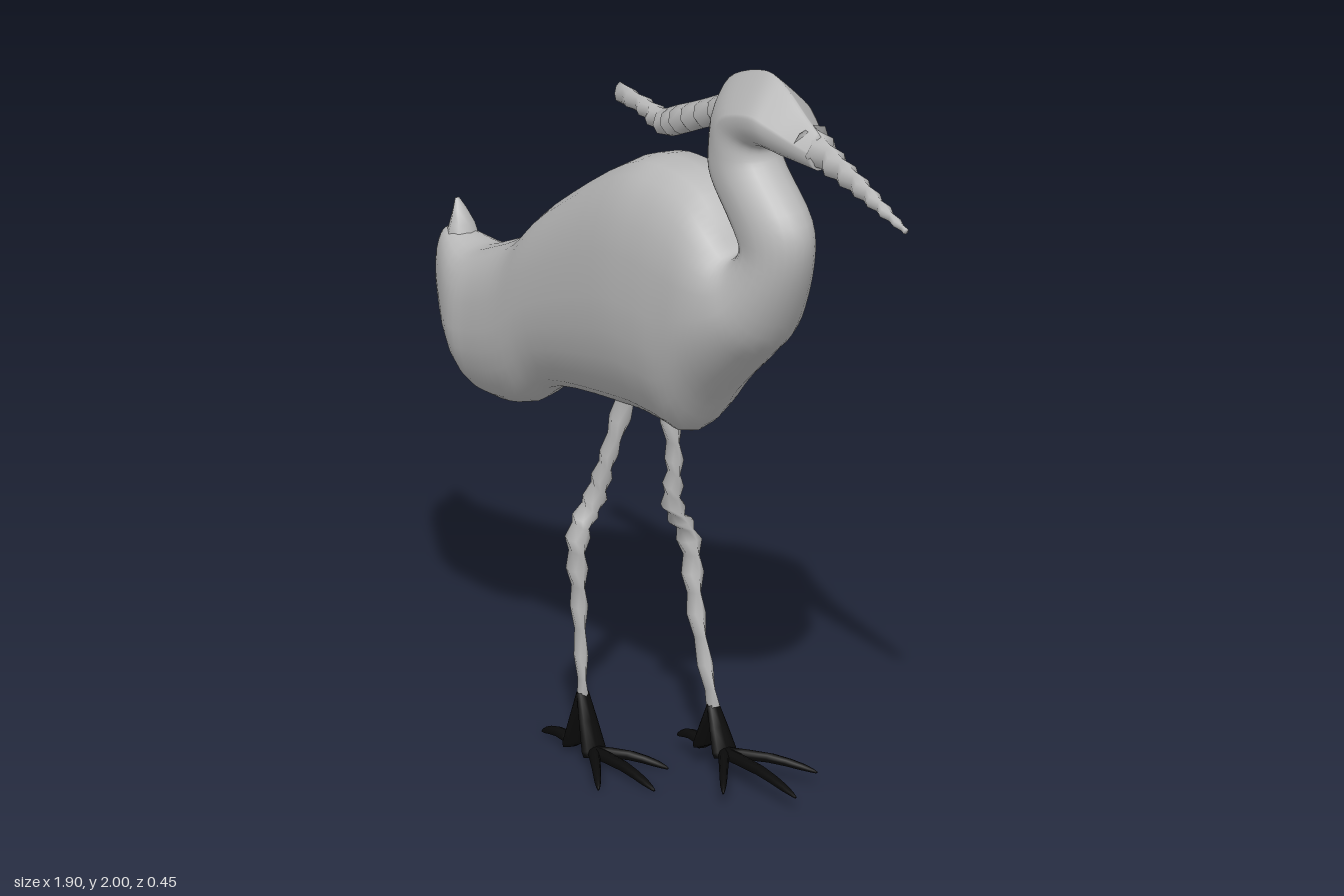
import * as THREE from 'three';

const plumage = new THREE.MeshStandardMaterial({ color: 0xbababa });
plumage.name = 'greyPlumage';
const black = new THREE.MeshStandardMaterial({ color: 0x0a0a0a });
black.name = 'blackFeet';

// Smoothly resample rows of numbers, k steps between neighbours
function resample(rows, k) {
  const out = [];
  for (let i = 0; i < rows.length - 1; i++) {
    const a = rows[Math.max(i - 1, 0)], b = rows[i], c = rows[i + 1], d = rows[Math.min(i + 2, rows.length - 1)];
    for (let s = 0; s < k; s++) {
      const t = s / k;
      out.push(b.map((v, m) => v + 0.5 * t * (c[m] - a[m]
        + t * (2 * a[m] - 5 * v + 4 * c[m] - d[m] + t * (3 * (v - c[m]) + d[m] - a[m])))));
    }
  }
  out.push(rows[rows.length - 1]);
  return out;
}

// Skin over rings {c: centre, h: in-plane half axis, w: half width in z, e: squareness of the upper half}
function skin(name, rings, sides, material) {
  const pos = [], idx = [];
  const pw = (v, e) => Math.sign(v) * Math.pow(Math.abs(v), e);
  for (const { c, h, w, e } of rings) {
    for (let j = 0; j < sides; j++) {
      const a = (j / sides) * Math.PI * 2, f = Math.cos(a) > 0 ? e : 1;
      const u = pw(Math.cos(a), f), v = pw(Math.sin(a), f);
      pos.push(c[0] + h[0] * u, c[1] + h[1] * u, c[2] + w * v);
    }
  }
  const n = rings.length, first = n * sides;
  pos.push(...rings[0].c, ...rings[n - 1].c);
  for (let j = 0; j < sides; j++) {
    const k = (j + 1) % sides, last = (n - 1) * sides;
    for (let i = 0; i < n - 1; i++) {
      const p = i * sides, q = p + sides;
      idx.push(p + j, p + k, q + j, p + k, q + k, q + j);
    }
    idx.push(first, k, j, first + 1, last + j, last + k);
  }
  const g = new THREE.BufferGeometry();
  g.setAttribute('position', new THREE.Float32BufferAttribute(pos, 3));
  g.setIndex(idx);
  g.computeVertexNormals();
  const mesh = new THREE.Mesh(g, material);
  mesh.name = name;
  return mesh;
}

// Tapered limb along [x, y, z, in-plane radius, z half width]; beaded ones pinch in z
function limb(name, points, steps, material, beaded = false) {
  const rows = resample(points, steps);
  const rings = rows.map(([x, y, z, r, w], i) => {
    const a = rows[Math.max(i - 1, 0)], b = rows[Math.min(i + 1, rows.length - 1)];
    const tx = b[0] - a[0], ty = b[1] - a[1], l = Math.hypot(tx, ty) || 1;
    return { c: [x, y, z], h: [-ty / l * r, tx / l * r], w: w * (beaded && i % 2 ? 0.4 : 1), e: 1 };
  });
  return skin(name, rings, 8, material);
}

// Foot: two splayed struts, one rear toe and three front toes
function foot(name, ax, ay, z, base, rear, middle, sideToes) {
  const g = new THREE.Group();
  g.name = name;
  const back = ax - 0.035, front = ax + 0.045, k = base + 0.03;
  for (const [n, x] of [['rearStrut', back], ['frontStrut', front]]) {
    g.add(limb(n, [[ax, ay, z, 0.012, 0.018], [x, k, z, 0.013, 0.036], [x, k - 0.012, z, 0.008, 0.026]], 2, black));
  }
  const toe = (n, x0, x1, z1) => g.add(limb(n, [
    [x0, k - 0.005, z, 0.015, 0.018],
    [x0 + (x1 - x0) * 0.5, k - 0.003, z + (z1 - z) * 0.5, 0.013, 0.014],
    [x0 + (x1 - x0) * 0.85, k - 0.015, z + (z1 - z) * 0.85, 0.009, 0.01],
    [x1, base + 0.006, z1, 0.003, 0.003]], 2, black));
  toe('rearToe', back, rear, z);
  toe('middleToe', front, middle, z);
  for (const [x, sz] of sideToes) toe('sideToe', front, x, sz);
  return g;
}

// Body, neck and head in one skin; stations are [back x, y, belly x, y, half width]
function bird() {
  const body = [
    [-0.94, 1.13, -0.95, 1.04, 0.02],
    [-0.9, 1.15, -0.92, 0.95, 0.055],
    [-0.79, 1.14, -0.78, 0.797, 0.122],
    [-0.69, 1.18, -0.69, 0.77, 0.13],
    [-0.56, 1.255, -0.56, 0.8, 0.14],
    [-0.42, 1.39, -0.42, 0.89, 0.15],
    [-0.12, 1.605, -0.12, 0.94, 0.17],
    [0.05, 1.65, 0, 0.945, 0.17],
    [0.17, 1.634, 0.1, 0.95, 0.165],
    [0.25, 1.57, 0.2, 1.07, 0.16],
    [0.3, 1.51, 0.33, 1.2, 0.14],
  ];
  const neckAndHead = [
    [0.325, 1.51, 0.43, 1.305, 0.115],
    [0.335, 1.54, 0.52, 1.5, 0.088],
    [0.29, 1.59, 0.52, 1.63, 0.087],
    [0.215, 1.68, 0.41, 1.74, 0.087],
    [0.195, 1.77, 0.385, 1.775, 0.087],
    [0.19, 1.87, 0.39, 1.8, 0.088],
    [0.245, 1.945, 0.42, 1.812, 0.09],
    [0.38, 2, 0.46, 1.812, 0.088],
    [0.46, 1.982, 0.49, 1.81, 0.075],
    [0.54, 1.935, 0.55, 1.81, 0.05],
    [0.6, 1.9, 0.6, 1.81, 0.03],
  ];
  // Full shoulders turn into a peaked crown at the head
  const rings = resample([...body, ...neckAndHead], 4).map(([tx, ty, bx, by, w]) => ({
    c: [(tx + bx) / 2, (ty + by) / 2, 0.007], h: [(tx - bx) / 2, (ty - by) / 2], w,
    e: 0.78 + 1.1 * THREE.MathUtils.smoothstep(ty, 1.68, 2),
  }));
  return skin('bodyNeckAndHead', rings, 24, plumage);
}

export function createModel() {
  const model = new THREE.Group();
  model.name = 'wadingBird';
  model.add(bird());

  // Beak, head plume and upturned tail tuft
  model.add(limb('beak', [
    [0.55, 1.868, 0, 0.05, 0.055], [0.65, 1.841, 0, 0.037, 0.036],
    [0.76, 1.816, 0, 0.028, 0.026], [0.86, 1.788, 0, 0.016, 0.02], [0.945, 1.765, 0, 0.008, 0.008]], 4, plumage, true));
  model.add(limb('headPlume', [
    [0.23, 1.85, 0, 0.04, 0.045], [0.12, 1.796, 0, 0.035, 0.038], [0.02, 1.746, 0, 0.036, 0.04],
    [-0.05, 1.715, 0, 0.034, 0.036], [-0.13, 1.726, 0, 0.024, 0.027], [-0.235, 1.73, 0, 0.028, 0.016]], 4, plumage, true));
  model.add(limb('tailTuft', [
    [-0.885, 1.09, 0, 0.05, 0.055], [-0.885, 1.16, 0, 0.028, 0.035], [-0.905, 1.22, 0, 0.004, 0.006]], 2, plumage));

  // Legs, one trailing and one stepping forward
  model.add(limb('leftLeg', [
    [-0.155, 0.98, 0.03, 0.035, 0.03], [-0.2, 0.8, 0.058, 0.024, 0.024], [-0.242, 0.67, 0.07, 0.03, 0.032],
    [-0.256, 0.57, 0.112, 0.032, 0.032], [-0.25, 0.39, 0.112, 0.024, 0.022], [-0.235, 0.155, 0.112, 0.015, 0.014]], 4, plumage, true));
  model.add(limb('rightLeg', [
    [-0.085, 0.98, -0.035, 0.035, 0.03], [-0.072, 0.8, -0.045, 0.024, 0.024], [-0.09, 0.67, -0.055, 0.03, 0.032],
    [-0.085, 0.57, -0.1, 0.033, 0.032], [-0.045, 0.39, -0.092, 0.027, 0.022], [0.025, 0.165, -0.092, 0.022, 0.014]], 4, plumage, true));

  model.add(foot('leftFoot', -0.235, 0.165, 0.112, 0, -0.4, 0.06, [[-0.025, 0.218], [-0.03, 0.005]]));
  model.add(foot('rightFoot', 0.025, 0.17, -0.092, 0.035, -0.12, 0.365, [[0.27, -0.225], [0.24, 0.035]]));

  return model;
}
